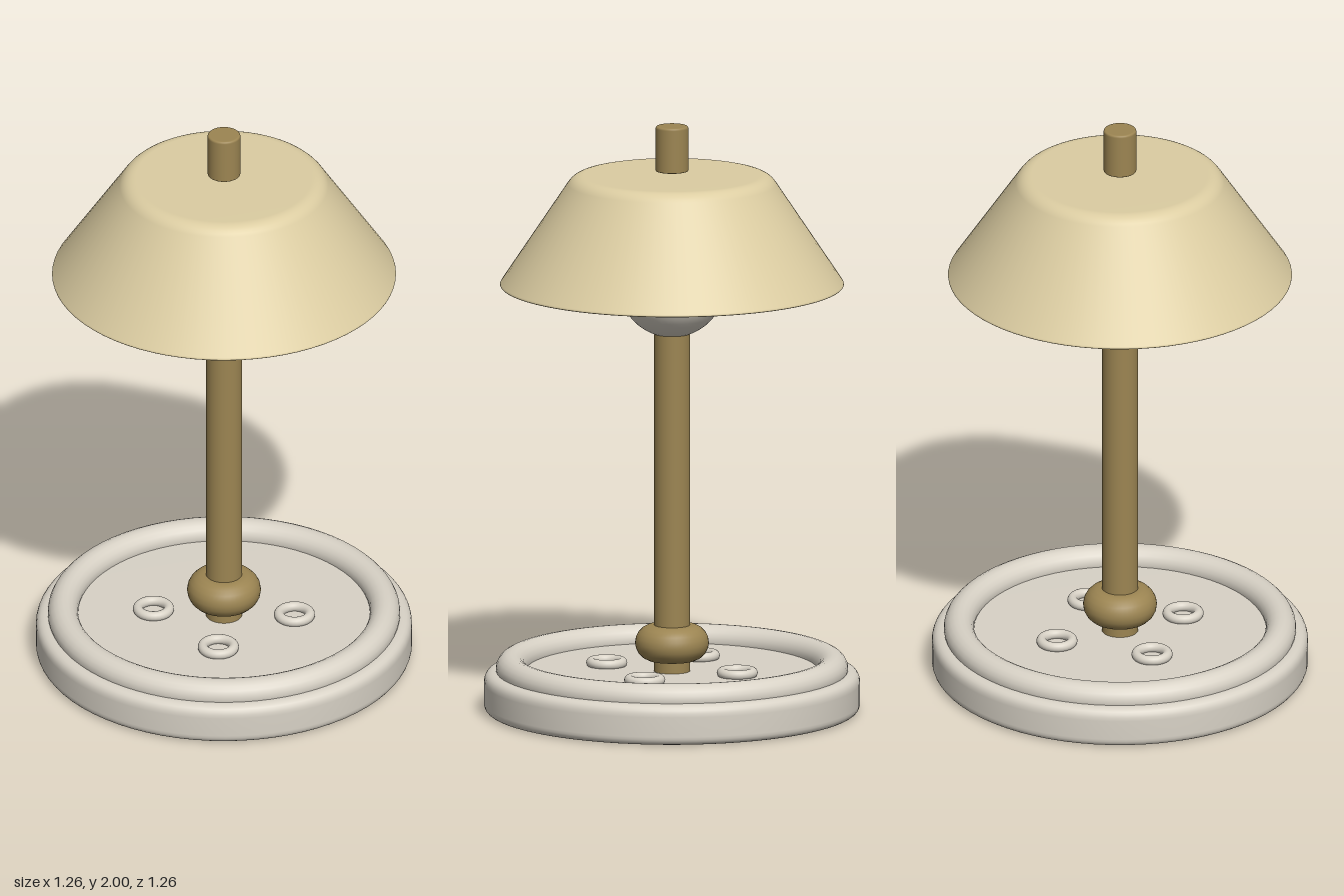
import * as THREE from 'three';

const mat = (name, color) => {
  const m = new THREE.MeshStandardMaterial({ color });
  m.name = name;
  return m;
};

// Solid of revolution from [radius, y, bevel] corners listed bottom to top
function turned(corners) {
  const v = corners.map(([r, y]) => new THREE.Vector2(r, y));
  const pts = [];
  corners.forEach(([, , bevel], i) => {
    if (!bevel) return pts.push(v[i]);
    const towards = (p) => v[i].clone().add(p.clone().sub(v[i]).setLength(bevel));
    const curve = new THREE.QuadraticBezierCurve(towards(v[i - 1]), v[i], towards(v[i + 1]));
    pts.push(...curve.getPoints(6));
  });
  return new THREE.LatheGeometry(pts, 72);
}

export function createModel() {
  const group = new THREE.Group();
  const ivory = mat('ivory', 0xd8d2c6);
  const brass = mat('brass', 0x9c8552);
  const cream = mat('cream', 0xdccda2);

  const add = (name, geometry, material, x = 0, y = 0, z = 0) => {
    const mesh = new THREE.Mesh(geometry, material);
    mesh.name = name;
    mesh.position.set(x, y, z);
    group.add(mesh);
    return mesh;
  };
  const ring = (radius, tube, segments) =>
    new THREE.TorusGeometry(radius, tube, 20, segments).rotateX(Math.PI / 2);

  // Base disc with a raised round rim
  add('base', turned([[0, 0], [0.632, 0, 0.03], [0.632, 0.137, 0.04], [0, 0.137]]), ivory);
  add('baseRim', ring(0.541, 0.051, 72), ivory, 0, 0.145);

  // Four small rings on the base, one per diagonal
  for (const sx of [-1, 1])
    for (const sz of [-1, 1])
      add('baseRing', ring(0.052, 0.017, 32), ivory, sx * 0.168, 0.148, sz * 0.168);

  // Stem and its collar
  add('stem', new THREE.CylinderGeometry(0.061, 0.061, 1.25, 40), brass, 0, 0.755);
  add('collar', ring(0.063, 0.061, 48), brass, 0, 0.234);

  // Bulb, half sunk in the closed shade
  add('bulb', new THREE.SphereGeometry(0.179, 40, 28), ivory, 0, 1.459);
  add('shade', turned([[0, 1.455], [0.582, 1.455, 0.012], [0.331, 1.832, 0.035], [0, 1.832]]), cream);

  // Finial hovering just above the shade
  add('finial', turned([[0, 1.846], [0.055, 1.846, 0.004], [0.055, 2, 0.008], [0, 2]]), brass);

  return group;
}
